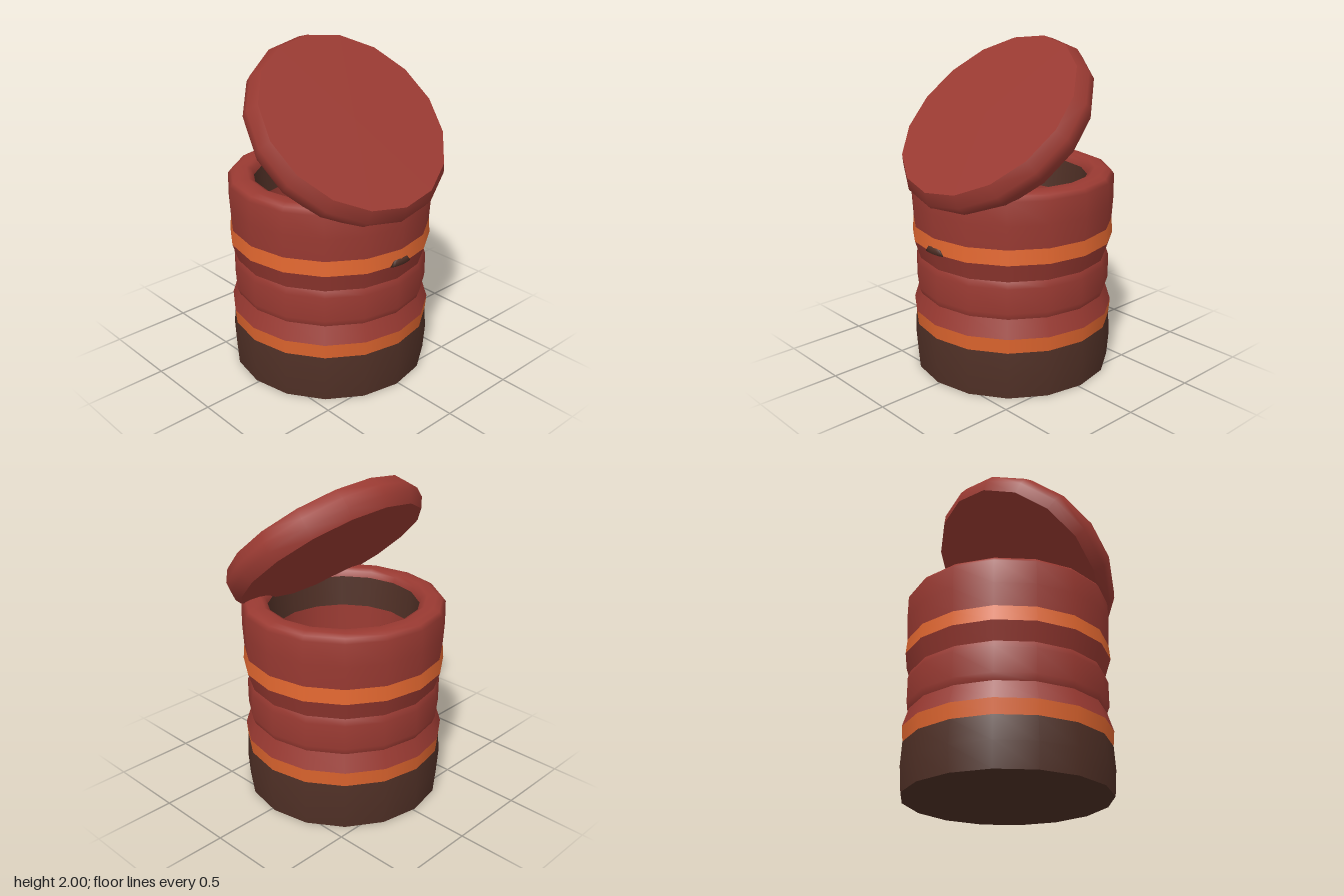
import * as THREE from 'three';

const SIDES = 16;

function material(name, color) {
  const m = new THREE.MeshStandardMaterial({ color });
  m.name = name;
  return m;
}

// Turned part from [radius, height] points; upward paths face outward
function turned(parent, name, mat, points) {
  const profile = points.map(([r, y]) => new THREE.Vector2(r, y));
  const mesh = new THREE.Mesh(new THREE.LatheGeometry(profile, SIDES), mat);
  mesh.name = name;
  parent.add(mesh);
  return mesh;
}

export function createModel() {
  const red = material('barn red', 0x9a3a32);
  const orange = material('orange', 0xe0662f);
  const brown = material('dark brown', 0x503026);

  const model = new THREE.Group();
  model.name = 'openBarrel';

  // Body: stacked rings, with sharp seams between them
  const body = new THREE.Group();
  body.name = 'body';
  body.position.set(-0.02, 0, 0.013);
  model.add(body);

  turned(body, 'bottom', brown, [[0, 0], [0.606, 0]]);
  turned(body, 'baseWall', brown, [[0.606, 0], [0.617, 0.15], [0.609, 0.29]]);
  turned(body, 'lowerBand', orange, [[0.609, 0.29], [0.617, 0.38]]);
  turned(body, 'lowerTaper', red, [[0.617, 0.38], [0.582, 0.49]]);
  turned(body, 'middleRing', red, [[0.582, 0.49], [0.597, 0.53], [0.597, 0.68], [0.582, 0.72]]);
  turned(body, 'upperTaper', red, [[0.582, 0.72], [0.617, 0.83]]);
  turned(body, 'upperBand', orange, [[0.617, 0.83], [0.609, 0.92]]);
  turned(body, 'rim', red, [
    [0.609, 0.92], [0.617, 1.06], [0.615, 1.2], [0.595, 1.226],
    [0.56, 1.24], [0.5, 1.24], [0.47, 1.225], [0.457, 1.19],
  ]);

  // Hollow inside
  turned(body, 'innerWall', brown, [[0.457, 1.19], [0.437, 1.0]]);
  turned(body, 'innerLowerWall', red, [[0.437, 1.0], [0.41, 0.3]]);
  turned(body, 'innerFloor', brown, [[0.41, 0.3], [0, 0.3]]);

  // Small catch peeking out of the upper band
  const catchPiece = turned(body, 'catch', brown, [[0, 0], [0.08, 0], [0.055, 0.03], [0, 0.04]]);
  catchPiece.scale.x = 0.25;
  catchPiece.position.set(0.605, 0.83, 0.002);

  // Lid, tipped open toward +x
  const lid = new THREE.Group();
  lid.name = 'lid';
  lid.rotation.set(0, -0.05, -0.74, 'YXZ');
  lid.position.set(0.063, 1.461, 0);
  model.add(lid);

  turned(lid, 'lidUnderside', red, [[0, 0], [0.6, 0]]);
  turned(lid, 'lidEdge', red, [[0.6, 0], [0.636, 0.06], [0.638, 0.12], [0.597, 0.19]]);
  turned(lid, 'lidTop', red, [[0.597, 0.19], [0, 0.19]]);

  return model;
}
